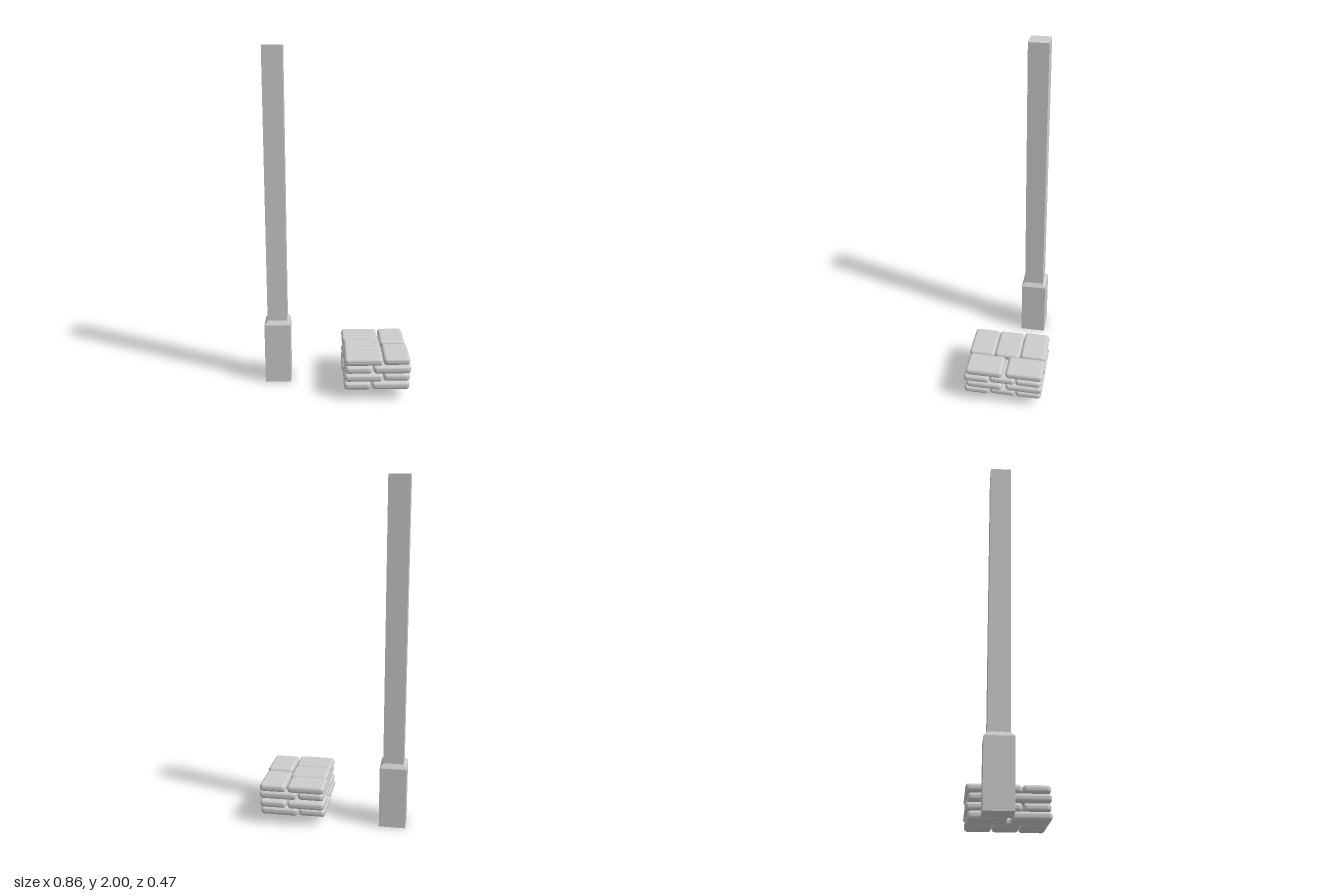
import * as THREE from 'three';
import { RoundedBoxGeometry } from 'three/addons/geometries/RoundedBoxGeometry.js';

const material = new THREE.MeshStandardMaterial({ color: 0xcccccc });

// Square block with a bottom and top width
function block(name, bottom, top, y0, y1) {
  const h = y1 - y0;
  const geo = new THREE.CylinderGeometry(top / Math.SQRT2, bottom / Math.SQRT2, h, 4, 1).toNonIndexed();
  geo.rotateY(Math.PI / 4).translate(0, y0 + h / 2, 0);
  geo.computeVertexNormals();
  const mesh = new THREE.Mesh(geo, material);
  mesh.name = name;
  return mesh;
}

// Filled sack, long along x, thinner towards both ends
function sackGeometry(length, height, width) {
  const geo = new RoundedBoxGeometry(length, height, width, 4, 0.019);
  const p = geo.attributes.position;
  for (let i = 0; i < p.count; i++) {
    const u = Math.abs(p.getX(i)) / (length / 2);
    const t = Math.max(0, (u - 0.8) / 0.2);
    p.setY(i, p.getY(i) * (1 - 0.1 * t * t));
    p.setZ(i, p.getZ(i) * (1 - 0.05 * t * t));
  }
  return geo;
}

export function createModel() {
  const model = new THREE.Group();

  // Post with a thicker foot and a sloped shoulder
  const post = new THREE.Group();
  post.name = 'post';
  post.add(
    block('postFoot', 0.154, 0.154, 0, 0.365),
    block('postShoulder', 0.154, 0.117, 0.365, 0.39),
    block('postShaft', 0.117, 0.117, 0.39, 2)
  );
  post.position.set(-0.355, 0, -0.083);
  model.add(post);

  // Each layer: three sacks along x, two along z [x, z, turned]
  const layout = [
    [-0.085, -0.157, 0], [-0.076, -0.002, 0], [-0.076, 0.154, 0],
    [0.11, -0.126, 1], [0.117, 0.113, 1],
  ];
  const geo = sackGeometry(0.219, 0.047, 0.154);
  const pile = new THREE.Group();
  pile.name = 'sackPile';
  const heights = [0.082, 0.1285, 0.181, 0.228];

  // Alternate layers are turned half round
  heights.forEach((y, i) => {
    const layer = new THREE.Group();
    layer.name = 'sackLayer';
    for (const [x, z, turned] of layout) {
      const sack = new THREE.Mesh(geo, material);
      sack.name = 'sack';
      sack.position.set(x, 0, z);
      sack.rotation.y = turned * Math.PI / 2;
      layer.add(sack);
    }
    const flipped = i % 2 === 0;
    layer.rotation.y = flipped ? Math.PI : 0;
    layer.position.set(flipped ? 0.234 : 0.229, y, 0);
    pile.add(layer);
  });
  // The lowest layer sits slightly to one side
  pile.children[0].position.x = 0.226;
  // Layers 1 and 3 from the ground follow the same bond as the top
  pile.children.forEach((layer, i) => { layer.position.z = i % 2 ? 0 : 0.001; });
  model.add(pile);

  return model;
}
